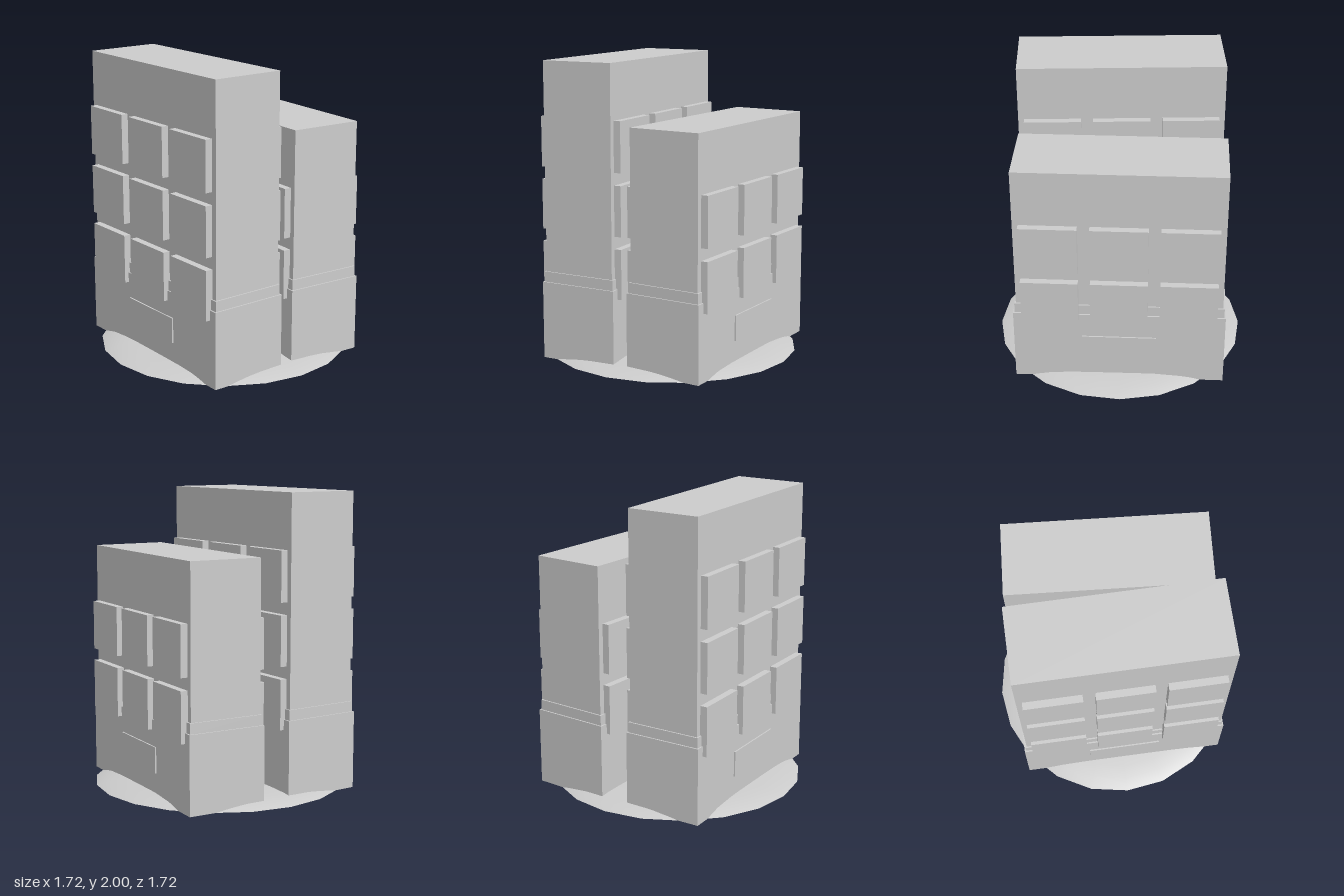
import * as THREE from 'three';
import { toCreasedNormals } from 'three/addons/utils/BufferGeometryUtils.js';

const stone = new THREE.MeshStandardMaterial({ color: 0xcccccc });
stone.name = 'paleGrey';

// Box given by its centre and its lower and upper height
function block(name, width, depth, y0, y1, x = 0, z = 0) {
  const mesh = new THREE.Mesh(new THREE.BoxGeometry(width, y1 - y0, depth), stone);
  mesh.name = name;
  mesh.position.set(x, (y0 + y1) / 2, z);
  return mesh;
}

// Slab building: wide base, stepped ledge, shaft, windows and plaque on both long sides
function building(name, height, rows) {
  const width = 1.377, depth = 0.505;
  const group = new THREE.Group();
  group.name = name;
  group.add(
    block('base', width + 0.04, depth + 0.04, 0, 0.525),
    block('ledge', width + 0.02, depth + 0.02, 0.525, 0.595),
    block('shaft', width, depth, 0.595, height)
  );
  for (const side of [1, -1]) {
    for (let row = 0; row < rows; row++) {
      const y = 0.457 + row * 0.419;
      for (const col of [-1, 0, 1]) {
        group.add(block('window', 0.38, 0.06, y, y + 0.336, col * 0.46, side * (depth / 2 + 0.019)));
      }
    }
    group.add(block('plaque', 0.5, 0.02, 0.175, 0.35, 0, side * (depth / 2 + 0.02)));
  }
  return group;
}

// Low, gently uneven mound with a flat underside
function mound() {
  const radius = 0.86, peak = 0.052;
  const profile = [new THREE.Vector2(0, 0), new THREE.Vector2(radius, 0)];
  for (const t of [0.97, 0.9, 0.8, 0.65, 0.4, 0]) {
    profile.push(new THREE.Vector2(radius * t, peak * (1 - t ** 6)));
  }
  const geometry = new THREE.LatheGeometry(profile, 20);
  const p = geometry.attributes.position;
  for (let i = 0; i < p.count; i++) {
    const x = p.getX(i), y = p.getY(i), z = p.getZ(i);
    p.setY(i, y * (1 + 0.15 * Math.sin(5 * x + 1) * Math.cos(4 * z)));
  }
  const mesh = new THREE.Mesh(toCreasedNormals(geometry, 0.6), stone);
  mesh.name = 'mound';
  return mesh;
}

export function createModel() {
  const model = new THREE.Group();
  model.name = 'twinSlabs';

  const front = building('tallBuilding', 2, 3);
  front.position.set(-0.005, 0, 0.335);
  front.rotation.y = 0.0255;

  const rear = building('shortBuilding', 1.6, 2);
  rear.position.set(-0.008, 0, -0.3575);
  rear.rotation.y = -0.047;

  model.add(front, rear, mound());
  return model;
}
